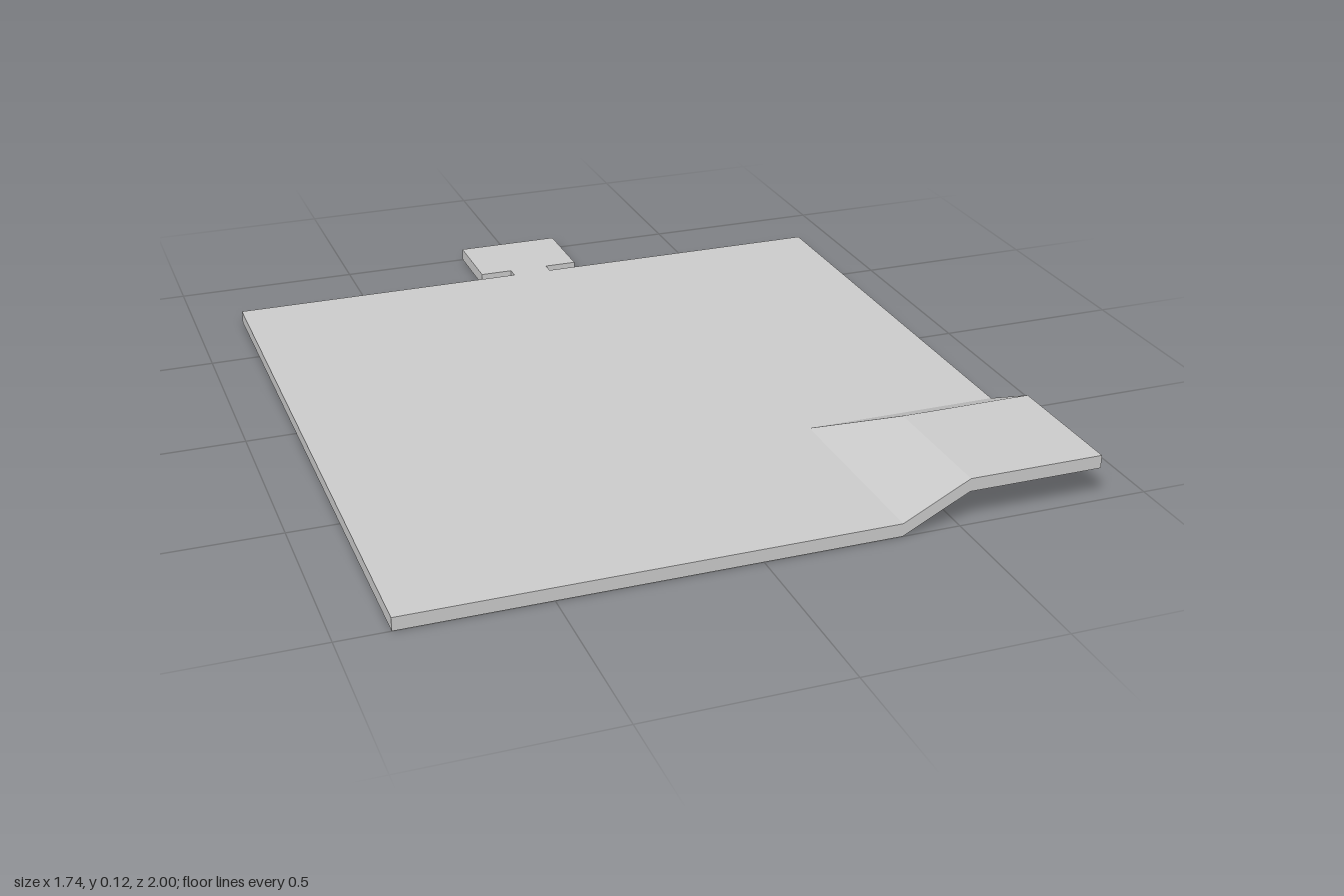
import * as THREE from 'three';

const THICKNESS = 0.034;
const LIFT = 0.088;
// Grid lines at every outline corner and fold
const XS = [-0.87, -0.145, -0.055, 0.055, 0.145, 0.35, 0.52, 0.87];
const ZS = [-1, -0.785, -0.75, 0.475, 0.65, 1];

// Underside height: flat, with one front corner pressed upwards
function height(x, z) {
  const rx = THREE.MathUtils.clamp((x - 0.35) / 0.17, 0, 1);
  const rz = THREE.MathUtils.clamp((z - 0.475) / 0.175, 0, 1);
  return LIFT * Math.min(rx, rz);
}

// Which grid cells are solid: tab head, narrow neck, then the full sheet
function filled(i, j) {
  if (i < 0 || j < 0 || i >= XS.length - 1 || j >= ZS.length - 1) return false;
  if (j === 0) return i >= 1 && i <= 3;
  if (j === 1) return i === 2;
  return true;
}

// Plate made of the solid cells in grid rows j0..j1, walled only on its outline
function plate(name, j0, j1, material) {
  const pos = [];
  const quad = (a, b, c, d) => {
    for (const p of [a, b, c, a, c, d]) pos.push(...p);
  };
  for (let j = j0; j <= j1; j++) {
    for (let i = 0; i < XS.length - 1; i++) {
      if (!filled(i, j)) continue;
      const corners = [[i, j], [i, j + 1], [i + 1, j + 1], [i + 1, j]];
      const low = corners.map(([a, b]) => [XS[a], height(XS[a], ZS[b]), ZS[b]]);
      const top = low.map(([x, y, z]) => [x, y + THICKNESS, z]);
      quad(...top);
      quad(low[0], low[3], low[2], low[1]);
      // Outer walls, one per side without a neighbour
      [[-1, 0], [0, 1], [1, 0], [0, -1]].forEach(([di, dj], k) => {
        const n = (k + 1) % 4;
        if (!filled(i + di, j + dj)) quad(low[k], low[n], top[n], top[k]);
      });
    }
  }
  const geometry = new THREE.BufferGeometry();
  geometry.setAttribute('position', new THREE.Float32BufferAttribute(pos, 3));
  geometry.computeVertexNormals();
  const mesh = new THREE.Mesh(geometry, material);
  mesh.name = name;
  return mesh;
}

export function createModel() {
  const group = new THREE.Group();
  group.name = 'foldedPlate';
  const material = new THREE.MeshStandardMaterial({ color: 0xcccccc, flatShading: true });
  group.add(plate('tab', 0, 1, material));
  group.add(plate('sheetWithRaisedCorner', 2, 4, material));
  return group;
}
